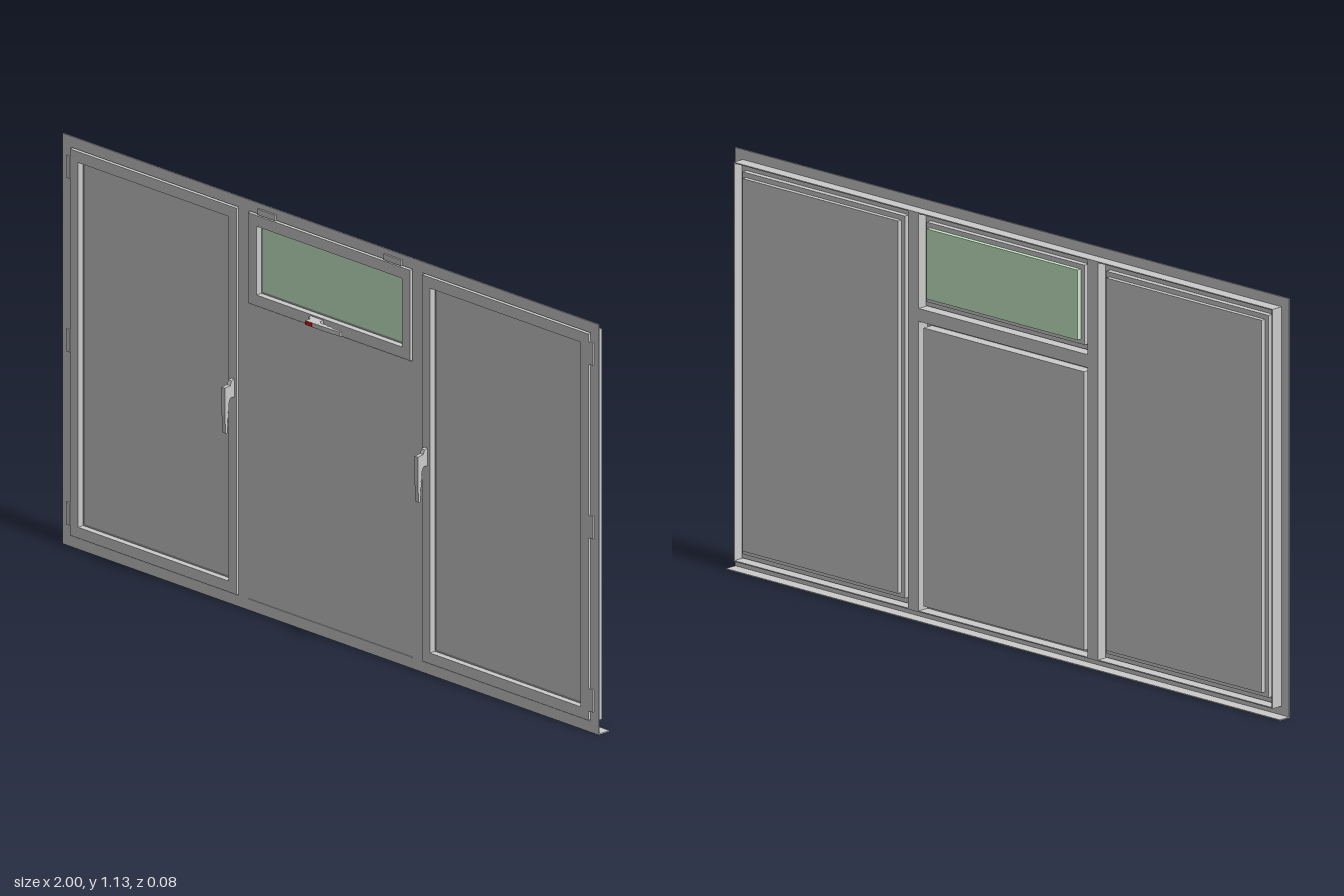
import * as THREE from 'three';

const grey = new THREE.MeshStandardMaterial({ color: 0xcccccc });
const green = new THREE.MeshStandardMaterial({ color: 0xccf0cc });
const red = new THREE.MeshStandardMaterial({ color: 0xdd1111 });

function add(parent, name, geometry, material = grey) {
  const mesh = new THREE.Mesh(geometry, material);
  mesh.name = name;
  parent.add(mesh);
  return mesh;
}

// Block given by its limits: [x0, x1], [y0, y1], [z0, z1]
function block(parent, name, [x0, x1], [y0, y1], [z0, z1], material) {
  const g = new THREE.BoxGeometry(x1 - x0, y1 - y0, z1 - z0);
  g.translate((x0 + x1) / 2, (y0 + y1) / 2, (z0 + z1) / 2);
  return add(parent, name, g, material);
}

// Rectangles are [x0, y0, x1, y1]
const inset = ([x0, y0, x1, y1], d) => [x0 + d, y0 + d, x1 - d, y1 - d];
const corners = ([x0, y0, x1, y1]) =>
  [[x0, y0], [x1, y0], [x1, y1], [x0, y1]].map(([x, y]) => new THREE.Vector2(x, y));

// Flat plate with rectangular openings, between two depths
function plate(parent, name, outer, holes, z0, z1) {
  const shape = new THREE.Shape(corners(outer));
  holes.forEach(h => shape.holes.push(new THREE.Path(corners(h))));
  const g = new THREE.ExtrudeGeometry(shape, { depth: z1 - z0, bevelEnabled: false });
  g.translate(0, 0, z0);
  return add(parent, name, g);
}

// Opening sash: raised front ring, stepped rebate and glazing
function sash(name, rect, material) {
  const group = new THREE.Group();
  group.name = name;
  plate(group, 'sashFrame', inset(rect, 0.003), [inset(rect, 0.033)], -0.012, 0.006);
  plate(group, 'sashRebate', inset(rect, 0.02), [inset(rect, 0.036)], -0.028, -0.012);
  const [x0, y0, x1, y1] = inset(rect, 0.033);
  block(group, 'pane', [x0, x1], [y0, y1], [-0.041, -0.014], material);
  return group;
}

// Lever handle: side profile (out from the sash, up) with finger grips
function handle(name) {
  const group = new THREE.Group();
  group.name = name;
  const profile = [
    [0, -0.024], [0.012, -0.024], [0.017, -0.03], [0.02, -0.042], [0.018, -0.052],
    [0.022, -0.062], [0.02, -0.072], [0.024, -0.084], [0.023, -0.095], [0.025, -0.118],
    [0.031, -0.118], [0.034, -0.06], [0.034, 0.008], [0.014, 0.01], [0.01, 0.022], [0, 0.024],
  ].map(p => new THREE.Vector2(...p));
  const g = new THREE.ExtrudeGeometry(new THREE.Shape(profile), { depth: 0.012, bevelEnabled: false });
  g.translate(0, 0, -0.006);
  g.rotateY(-Math.PI / 2);
  add(group, 'lever', g);
  return group;
}

export function createModel() {
  const model = new THREE.Group();
  model.name = 'windowWall';

  const sideSash = [0.343, 0.03, 0.97, 1.1];
  const mirrored = [-0.97, 0.03, -0.343, 1.1];
  const ventSash = [-0.305, 0.845, 0.305, 1.1];

  // Fixed frame: thin front flange, deep returns, mullions, transom and sill lip
  const frame = new THREE.Group();
  frame.name = 'frame';
  model.add(frame);
  plate(frame, 'frontFlange', [-1, 0, 1, 1.13], [sideSash, mirrored, ventSash], -0.003, 0.001);
  plate(frame, 'frameReturn', [-0.973, 0.027, 0.973, 1.103], [[-0.97, 0.03, 0.97, 1.1]], -0.037, -0.001);
  for (const s of [-1, 1]) {
    block(frame, 'mullion', [s * 0.324 - 0.019, s * 0.324 + 0.019], [0.03, 1.1], [-0.037, -0.001]);
  }
  block(frame, 'transom', [-0.305, 0.305], [0.81, 0.845], [-0.037, -0.001]);
  block(frame, 'sillLip', [-1, 1], [0, 0.003], [-0.038, 0]);

  // Fixed lower centre panel
  block(frame, 'fixedPanel', [-0.29, 0.29], [0.045, 0.795], [-0.034, -0.001]);
  block(frame, 'drainageBead', [-0.305, 0.305], [0.029, 0.032], [0, 0.003]);

  // Side sashes with handles and hinges
  for (const s of [-1, 1]) {
    const side = s > 0 ? 'left' : 'right';
    model.add(sash(side + 'Sash', s > 0 ? sideSash : mirrored));
    const lever = handle(side + 'Handle');
    lever.position.set(s * 0.36, 0.6, 0.006);
    model.add(lever);
    for (const y of [0.09, 0.567, 1.045]) {
      block(model, side + 'Hinge', [s * 0.975 - 0.007, s * 0.975 + 0.007], [y - 0.031, y + 0.031], [-0.003, 0.006]);
    }
    block(model, 'ventHinge', [s * 0.235 - 0.033, s * 0.235 + 0.033], [1.1, 1.116], [-0.003, 0.006]);
  }

  // Top vent with green glass and a sideways handle
  model.add(sash('ventSash', ventSash, green));
  const ventHandle = handle('ventHandle');
  ventHandle.position.set(-0.045, 0.868, 0.006);
  ventHandle.rotation.z = Math.PI / 2;
  block(ventHandle, 'redMarker', [-0.005, 0.005], [-0.016, 0.008], [0.033, 0.035], red);
  model.add(ventHandle);

  return model;
}
